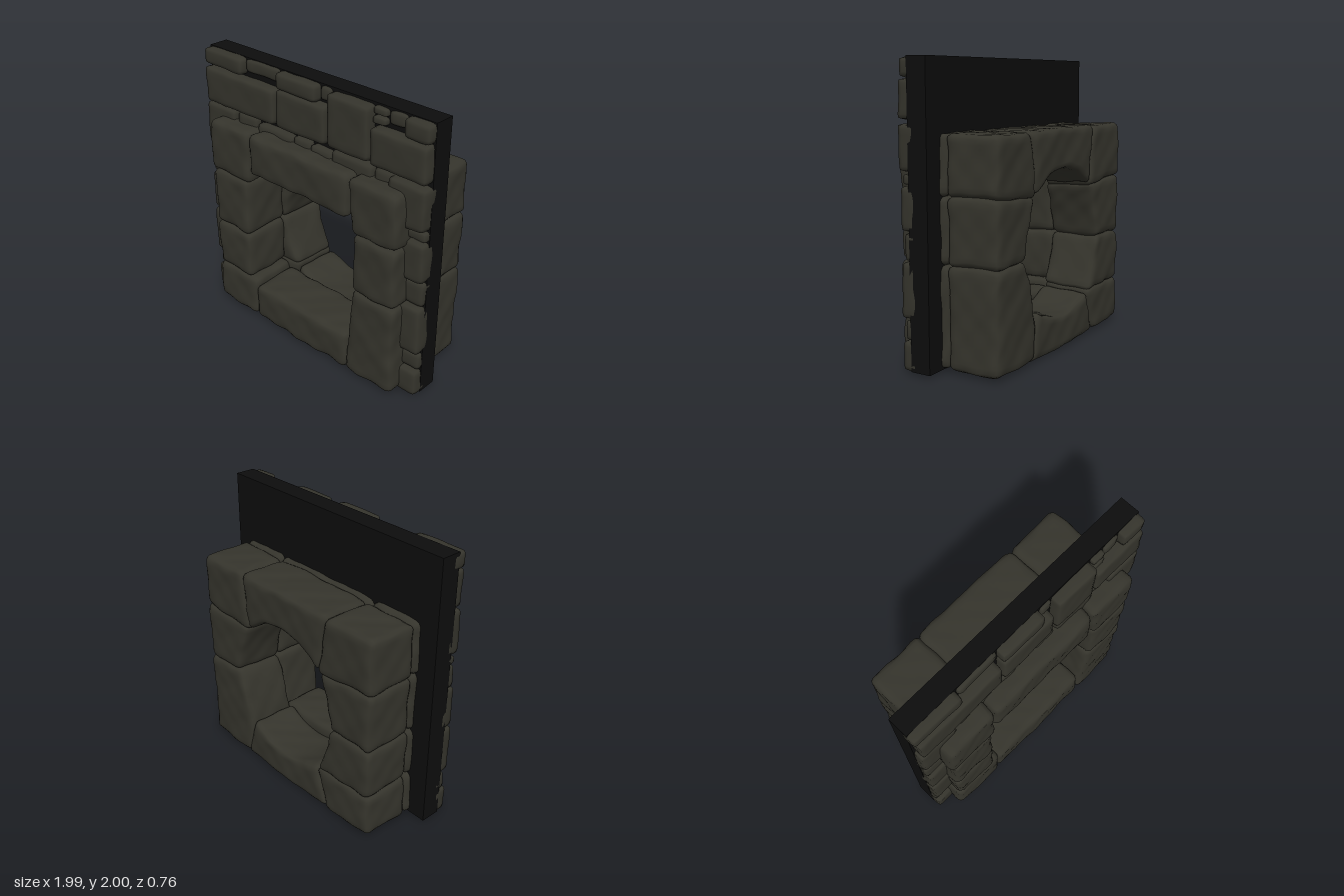
import * as THREE from 'three';
import { mergeVertices } from 'three/addons/utils/BufferGeometryUtils.js';

const stoneMat = new THREE.MeshStandardMaterial({ color: 0x35342c });
stoneMat.name = 'mossy grey stone';
const mortarMat = new THREE.MeshStandardMaterial({ color: 0x0d0d0d });
mortarMat.name = 'black mortar';

// Smooth, repeatable surface wobble
const wobble = (a, b, c) =>
  Math.sin(a * 11 + b * 7 + 1.3) * Math.sin(b * 9 - c * 13) + 0.6 * Math.sin(a * 29 + c * 17) * Math.sin(b * 31 + c * 23 + 2);

// Rounded block fitted to a quad [bottom left, bottom right, top right, top left] between two depths.
// bow moves the middles of the bottom, right, top and left edges.
function stone(name, q, z0, z1, { r = 0.045, rough = 0.006, bow = [0, 0, 0, 0], step = 0.032 } = {}) {
  const w = (q[1][0] - q[0][0] + q[2][0] - q[3][0]) / 2;
  const h = (q[3][1] - q[0][1] + q[2][1] - q[1][1]) / 2;
  const d = z1 - z0;
  const seg = (s) => Math.max(4, Math.round(s / step));
  let geo = new THREE.BoxGeometry(w, h, d, seg(w), seg(h), seg(d));
  geo.deleteAttribute('uv');
  geo.deleteAttribute('normal');
  geo = mergeVertices(geo);
  const rad = Math.min(r, w * 0.3, h * 0.3, d * 0.45);
  const half = new THREE.Vector3(w / 2, h / 2, d / 2);
  const inner = half.clone().subScalar(rad);
  const low = inner.clone().negate();
  const pos = geo.attributes.position;
  const p = new THREE.Vector3(), core = new THREE.Vector3();
  for (let i = 0; i < pos.count; i++) {
    p.fromBufferAttribute(pos, i);
    core.copy(p).clamp(low, inner);
    p.sub(core);
    if (p.lengthSq() > 0) p.setLength(rad);
    p.add(core);
    const u = p.x / half.x, v = p.y / half.y;
    const a = (1 + u) / 2, b = (1 + v) / 2;
    const mix = (k) => (q[0][k] * (1 - a) + q[1][k] * a) * (1 - b) + (q[3][k] * (1 - a) + q[2][k] * a) * b;
    const x = mix(0) + (1 - v * v) * (bow[1] * a + bow[3] * (1 - a));
    const y = mix(1) + (1 - u * u) * (bow[0] * (1 - b) + bow[2] * b);
    const z = p.z + (z0 + z1) / 2;
    pos.setXYZ(i, x + rough * wobble(y, z, x), Math.max(0, y + rough * wobble(z, x, y)), z + rough * wobble(x, y, z));
  }
  geo.computeVertexNormals();
  const mesh = new THREE.Mesh(geo, stoneMat);
  mesh.name = name;
  return mesh;
}

const rect = (x0, x1, y0, y1) => [[x0, y0], [x1, y0], [x1, y1], [x0, y1]];

export function createModel() {
  const model = new THREE.Group();
  model.name = 'stoneWallOpening';

  // Backing slab with a hole behind the stone frame
  const outline = new THREE.Shape([[-1, 0.02], [0.985, 0.02], [0.985, 2], [-1, 2]].map((c) => new THREE.Vector2(...c)));
  outline.holes.push(new THREE.Path([[-0.54, 0.25], [-0.54, 1.29], [0.54, 1.29], [0.54, 0.25]].map((c) => new THREE.Vector2(...c))));
  const slab = new THREE.Mesh(new THREE.ExtrudeGeometry(outline, { depth: 0.145, bevelEnabled: false }), mortarMat);
  slab.position.z = 0.05;
  slab.name = 'wallSlab';
  model.add(slab);

  // Wall bricks: x0, x1, y0, y1, front depth
  const bricks = new THREE.Group();
  bricks.name = 'wallBricks';
  [
    [-1, -0.62, 1.88, 1.995, 0.26], [-0.61, -0.29, 1.905, 1.995, 0.22], [-0.28, 0.08, 1.88, 1.995, 0.265],
    [0.09, 0.18, 1.9, 1.99, 0.22], [0.54, 0.64, 1.94, 1.99, 0.23], [0.54, 0.64, 1.88, 1.93, 0.235],
    [0.65, 0.78, 1.9, 1.99, 0.22], [0.79, 0.985, 1.87, 1.995, 0.26],
    [-0.985, -0.3, 1.61, 1.865, 0.275], [-0.28, 0.16, 1.61, 1.88, 0.27], [0.19, 0.53, 1.62, 1.985, 0.275], [0.55, 0.98, 1.615, 1.865, 0.275],
    [-0.68, -0.5, 1.3, 1.6, 0.25], [-0.49, -0.15, 1.3, 1.57, 0.25], [-0.14, 0.01, 1.3, 1.58, 0.24],
    [0.02, 0.2, 1.3, 1.57, 0.25], [0.22, 0.55, 1.3, 1.6, 0.26], [0.56, 0.83, 1.3, 1.59, 0.24],
  ].forEach(([x0, x1, y0, y1, z]) => bricks.add(stone('brick', rect(x0, x1, y0, y1), 0.14, z, { r: 0.022, rough: 0.003 })));

  // Brick ends showing beside the frame: y0, y1, depth
  const leftRows = [[1.29, 1.6, 0.27], [1.22, 1.275, 0.24], [1.04, 1.205, 0.25], [0.73, 1.03, 0.265], [0.36, 0.72, 0.27], [0.22, 0.35, 0.24], [0.02, 0.21, 0.265]];
  const rightRows = [[1.29, 1.59, 0.275], [1.21, 1.28, 0.24], [0.92, 1.2, 0.26], [0.73, 0.91, 0.235], [0.36, 0.72, 0.265], [0.22, 0.35, 0.24], [0.02, 0.21, 0.265]];
  const option = { r: 0.022, rough: 0.003 };
  leftRows.forEach(([y0, y1, z]) => bricks.add(stone('brick', rect(-0.998, -0.7, y0, y1), 0.14, z, option)));
  rightRows.forEach(([y0, y1, z]) => bricks.add(stone('brick', rect(0.7, 0.985, y0, y1), 0.14, z, option)));
  model.add(bricks);

  // Front ring: squared opening
  const front = new THREE.Group();
  front.name = 'frontFrame';
  const f = (name, q, opts) => front.add(stone(name, q, 0, 0.372, opts));
  f('lintel', rect(-0.46, 0.45, 1.225, 1.53), { bow: [0.01, 0, 0, 0] });
  f('sill', rect(-0.45, 0.45, 0.015, 0.305), { bow: [-0.005, 0, 0, 0] });
  f('cornerStone', rect(-0.865, -0.465, 1.145, 1.53));
  f('cornerStone', [[0.49, 1.14], [0.855, 1.14], [0.855, 1.53], [0.45, 1.53]]);
  f('cornerStone', rect(-0.865, -0.445, 0.02, 0.345));
  f('sideStone', rect(-0.855, -0.495, 0.71, 1.15));
  f('sideStone', rect(-0.855, -0.495, 0.34, 0.712));
  f('sideStone', rect(0.5, 0.855, 0.705, 1.14));
  f('tallStone', [[0.44, 0.02], [0.855, 0.02], [0.855, 0.705], [0.5, 0.705]]);
  model.add(front);

  // Back ring: rounded opening
  const back = new THREE.Group();
  back.name = 'backFrame';
  const b = (name, q, bow) => back.add(stone(name, q, -0.372, 0.01, { bow }));
  b('archStone', [[-0.37, 1.1], [0.37, 1.1], [0.43, 1.53], [-0.45, 1.53]], [0.16, 0, 0.006, 0]);
  b('archSill', [[-0.45, 0.01], [0.44, 0.01], [0.36, 0.34], [-0.36, 0.34]], [0, 0, -0.1, 0]);
  b('cornerStone', [[-0.865, 1.14], [-0.36, 1.09], [-0.44, 1.53], [-0.865, 1.53]]);
  b('cornerStone', [[0.36, 1.09], [0.855, 1.14], [0.855, 1.53], [0.43, 1.53]]);
  b('cornerStone', [[-0.865, 0.02], [-0.45, 0.02], [-0.36, 0.35], [-0.865, 0.345]]);
  b('sideStone', [[-0.86, 0.71], [-0.495, 0.71], [-0.37, 1.11], [-0.86, 1.145]], [0, -0.02, 0, 0]);
  b('sideStone', [[-0.86, 0.34], [-0.36, 0.33], [-0.495, 0.715], [-0.86, 0.715]], [0, -0.01, 0, 0]);
  b('sideStone', [[0.505, 0.7], [0.855, 0.7], [0.855, 1.145], [0.37, 1.11]], [0, 0, 0, 0.02]);
  b('tallStone', [[0.39, 0.02], [0.855, 0.02], [0.855, 0.705], [0.505, 0.705]], [0, 0, 0, -0.06]);
  model.add(back);

  return model;
}
